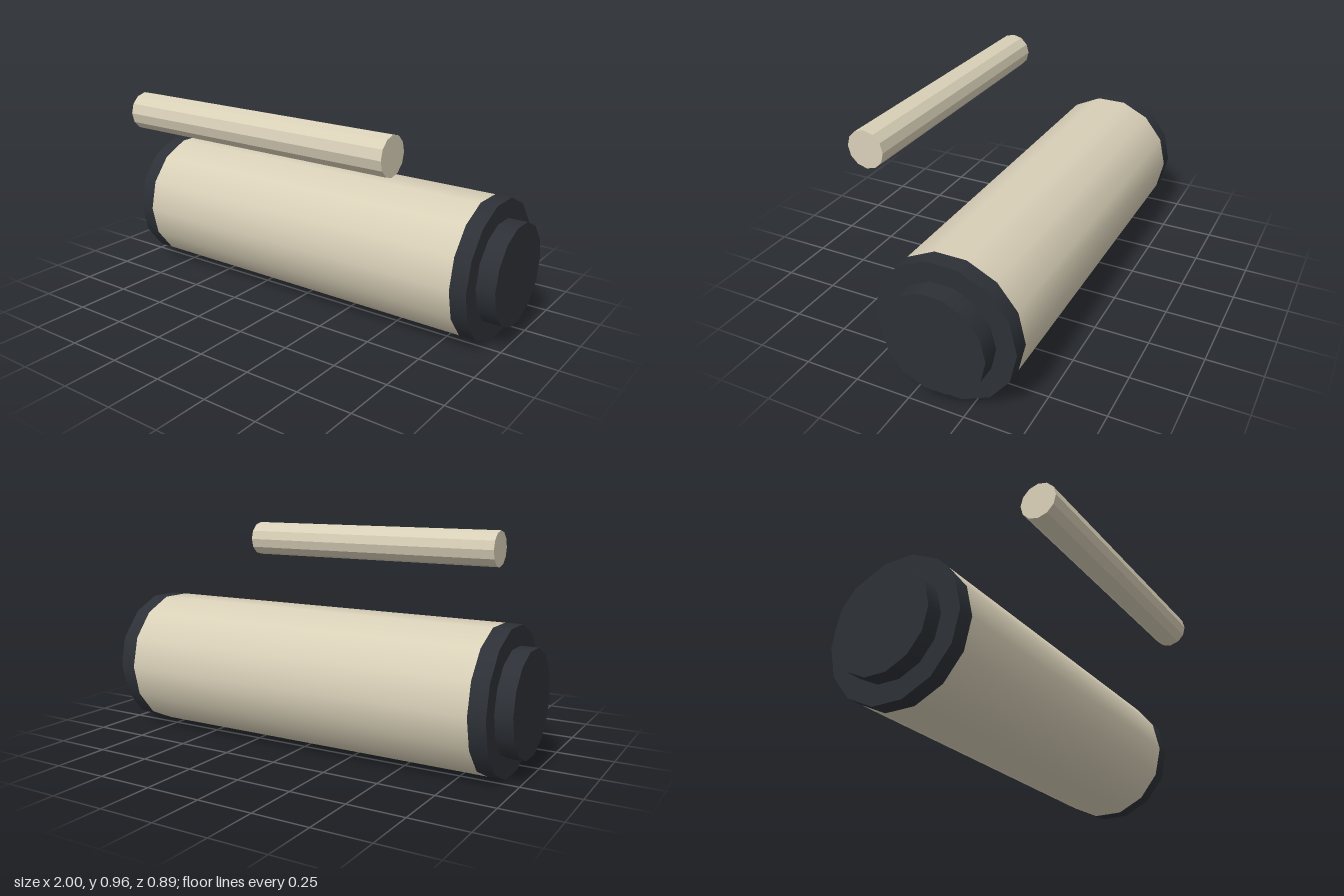
import * as THREE from 'three';

const cream = new THREE.MeshStandardMaterial({ color: 0xd9d0b8 });
const creamFlat = new THREE.MeshStandardMaterial({ color: 0xd9d0b8, flatShading: true });
const dark = new THREE.MeshStandardMaterial({ color: 0x2d3137 });

// Cylinder lying along x between x0 and x1, with corners at its front and back
function roller(name, x0, x1, radius, sides, material, open = false) {
  const geometry = new THREE.CylinderGeometry(radius, radius, x1 - x0, sides, 1, open);
  geometry.rotateZ(-Math.PI / 2);
  const mesh = new THREE.Mesh(geometry, material);
  mesh.name = name;
  mesh.position.x = (x0 + x1) / 2;
  return mesh;
}

export function createModel() {
  const model = new THREE.Group();
  model.name = 'rollerAndBar';

  // Large drum with a dark rim and a stepped hub at each end
  const drum = new THREE.Group();
  drum.name = 'drum';
  drum.add(
    roller('drumBody', -0.85, 0.84, 0.315, 14, cream, true),
    roller('rightRim', -0.925, -0.85, 0.315, 14, dark),
    roller('leftRim', 0.84, 0.915, 0.315, 14, dark),
    roller('rightHub', -1, -0.925, 0.228, 14, dark),
    roller('leftHub', 0.915, 1, 0.228, 14, dark)
  );
  drum.position.set(0, 0.308, -0.128);

  // Slim faceted bar floating above and in front
  const bar = roller('bar', -0.67, 0.66, 0.084, 12, creamFlat);
  bar.position.y = 0.876;
  bar.position.z = 0.358;

  // Both lie at a very slight angle to the x axis
  for (const part of [drum, bar]) part.rotation.y = -0.003;
  model.add(drum, bar);
  return model;
}
